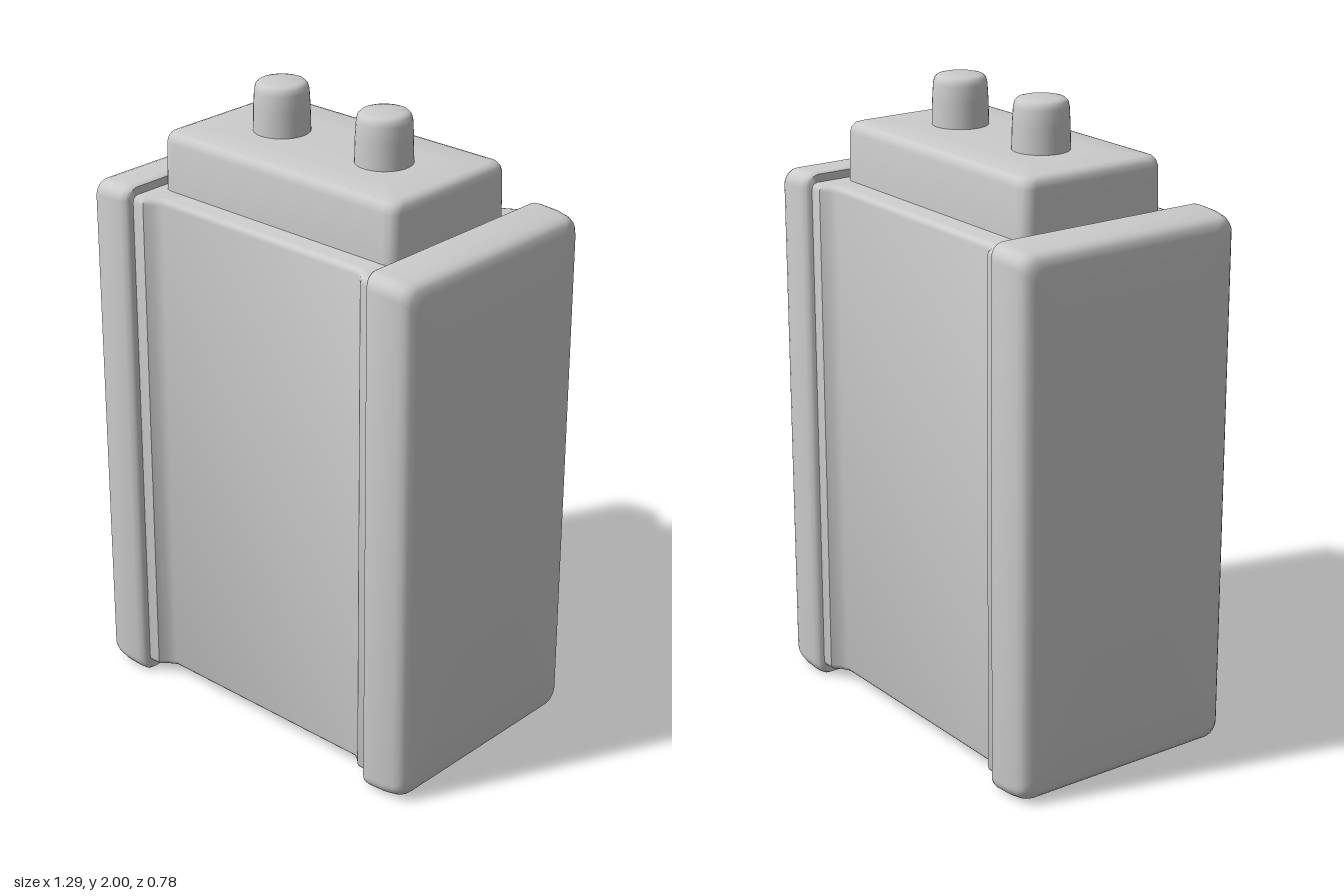
import * as THREE from 'three';
import { mergeVertices, toCreasedNormals } from 'three/addons/utils/BufferGeometryUtils.js';

const material = new THREE.MeshStandardMaterial({ color: 0xcccccc });

// Rounded rectangle outline, counter-clockwise, with the same point count for any size
function outline(a, b, r) {
  const pts = [], steps = 6;
  const corners = [[1, 1], [-1, 1], [-1, -1], [1, -1]];
  corners.forEach(([sx, sy], q) => {
    for (let i = 0; i <= steps; i++) {
      const t = (q + i / steps) * Math.PI / 2;
      pts.push([sx * (a - r) + r * Math.cos(t), sy * (b - r) + r * Math.sin(t)]);
    }
  });
  return pts;
}

// Closed solid through rounded rectangles stacked along y: [height, halfX, halfZ, radius]
function loft(rings) {
  const pos = [], index = [];
  let n = 0;
  for (const [y, a, b, r] of rings) {
    const pts = outline(a, b, r);
    n = pts.length;
    for (const [x, z] of pts) pos.push(x, y, z);
  }
  const last = (rings.length - 1) * n;
  const bottom = pos.length / 3, top = bottom + 1;
  pos.push(0, rings[0][0], 0, 0, rings[rings.length - 1][0], 0);
  for (let i = 0; i < n; i++) {
    const j = (i + 1) % n;
    for (let k = 0; k < last; k += n) {
      index.push(k + i, k + n + i, k + j, k + j, k + n + i, k + n + j);
    }
    index.push(bottom, i, j, top, last + j, last + i);
  }
  const g = new THREE.BufferGeometry();
  g.setAttribute('position', new THREE.Float32BufferAttribute(pos, 3));
  g.setIndex(index);
  return toCreasedNormals(mergeVertices(g), 0.75);
}

export function createModel() {
  const model = new THREE.Group();
  const add = (name, geometry, x = 0, y = 0, z = 0) => {
    const mesh = new THREE.Mesh(geometry, material);
    mesh.name = name;
    mesh.position.set(x, y, z);
    model.add(mesh);
    return mesh;
  };

  // Main case: flat panels that flare out where they meet the end caps
  const quarter = [[0.39, 0.325], [0.415, 0.34], [0.435, 0.36], [0.5, 0.363]];
  const back = [...quarter].reverse();
  const plan = new THREE.Shape([
    ...quarter.map(([x, z]) => [x, z]),
    ...back.map(([x, z]) => [x, -z]),
    ...quarter.map(([x, z]) => [-x, -z]),
    ...back.map(([x, z]) => [-x, z]),
  ].map(([x, z]) => new THREE.Vector2(x, z)));
  const bevel = 0.02;
  const caseGeometry = new THREE.ExtrudeGeometry(plan, {
    depth: 1.625 - 2 * bevel, bevelSize: bevel, bevelOffset: -bevel,
    bevelThickness: bevel, bevelSegments: 3,
  });
  caseGeometry.rotateX(-Math.PI / 2);
  add('case', toCreasedNormals(caseGeometry, 0.6), 0, 0.035 + bevel, -0.003);

  // End caps: soft-edged slabs with a slightly bulging outer face
  const capGeometry = loft([
    [0.475, 0.838, 0.374, 0.035],
    [0.482, 0.842, 0.383, 0.04],
    [0.500, 0.842, 0.390, 0.045],
    [0.560, 0.839, 0.389, 0.045],
    [0.600, 0.834, 0.383, 0.045],
    [0.618, 0.828, 0.376, 0.045],
    [0.630, 0.816, 0.364, 0.045],
    [0.636, 0.795, 0.345, 0.045],
    [0.642, 0.640, 0.260, 0.04],
    [0.646, 0.300, 0.120, 0.03],
  ]);
  capGeometry.rotateZ(-Math.PI / 2);
  add('leftEndCap', capGeometry, 0, 0.847, 0);
  add('rightEndCap', capGeometry, 0, 0.847, 0).rotation.y = Math.PI;

  // Raised lid block
  add('lid', loft([
    [1.62, 0.463, 0.252, 0.04],
    [1.81, 0.460, 0.250, 0.04],
    [1.827, 0.456, 0.246, 0.04],
    [1.838, 0.447, 0.237, 0.036],
    [1.843, 0.432, 0.222, 0.03],
    [1.846, 0.300, 0.120, 0.02],
  ]), 0.002, 0, 0);

  // Two terminal posts with rounded tops
  const profile = [[0.087, 0], [0.085, 0.08], [0.082, 0.13], [0.078, 0.145],
    [0.070, 0.153], [0.058, 0.156], [0, 0.157]];
  const post = toCreasedNormals(new THREE.LatheGeometry(
    profile.map(([r, y]) => new THREE.Vector2(r, y)), 40), 0.8);
  [['rightTerminal', -0.195], ['leftTerminal', 0.21]].forEach(([name, x]) => {
    add(name, post, x, 1.843, 0.005);
  });

  return model;
}
